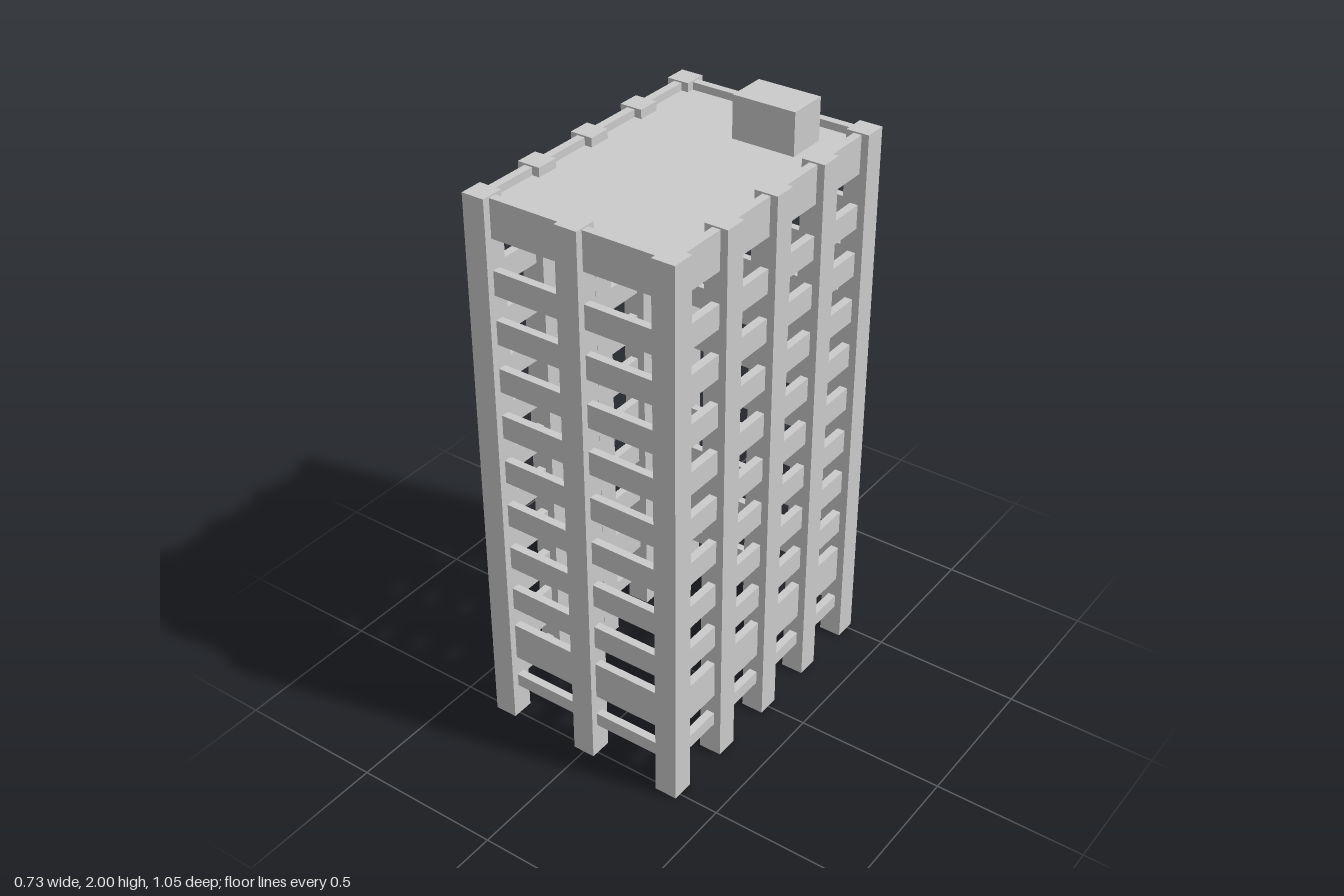
import * as THREE from 'three';

const material = new THREE.MeshStandardMaterial({ color: 0xcccccc, flatShading: true });

function addBox(group, name, size, position) {
  const mesh = new THREE.Mesh(new THREE.BoxGeometry(...size), material);
  mesh.name = name;
  mesh.position.set(...position);
  group.add(mesh);
}

// Rectangular path on the plan, given its half sizes
function tracePath(path, hx, hz) {
  path.moveTo(-hx, -hz);
  path.lineTo(hx, -hz);
  path.lineTo(hx, hz);
  path.lineTo(-hx, hz);
  path.closePath();
  return path;
}

// Hollow rectangular band running round the whole building
function addBand(group, name, bottom, top) {
  const shape = tracePath(new THREE.Shape(), 0.338, 0.499);
  shape.holes.push(tracePath(new THREE.Path(), 0.311, 0.472));
  const geometry = new THREE.ExtrudeGeometry(shape, { depth: top - bottom, bevelEnabled: false });
  geometry.rotateX(-Math.PI / 2);
  const mesh = new THREE.Mesh(geometry, material);
  mesh.name = name;
  mesh.position.y = bottom;
  group.add(mesh);
}

export function createModel() {
  const building = new THREE.Group();
  building.name = 'building';

  // Columns: a 3 by 5 grid without its interior
  const columns = new THREE.Group();
  columns.name = 'columns';
  const height = 1.89, width = 0.077;
  for (let i = -1; i <= 1; i++) {
    for (let j = -2; j <= 2; j++) {
      if (i === 0 && Math.abs(j) < 2) continue;
      addBox(columns, 'column', [width, height, width], [i * 0.324, height / 2, j * 0.2425]);
    }
  }
  building.add(columns);

  // Bands: entrance rail, deep first floor, regular floors, parapet
  const bands = new THREE.Group();
  bands.name = 'floorBands';
  addBand(bands, 'entranceBand', 0.117, 0.164);
  addBand(bands, 'firstFloorBand', 0.237, 0.369);
  for (let k = 0; k < 8; k++) {
    const bottom = 0.438 + k * 0.1626;
    addBand(bands, 'floorBand', bottom, bottom + 0.08);
  }
  addBand(bands, 'parapet', 1.759, 1.885);
  building.add(bands);

  // Roof slab and the stair house standing on it
  addBox(building, 'roof', [0.63, 0.03, 0.95], [0, 1.845, 0]);
  addBox(building, 'stairHouse', [0.216, 0.15, 0.137], [0.121, 1.925, -0.319]);

  return building;
}
